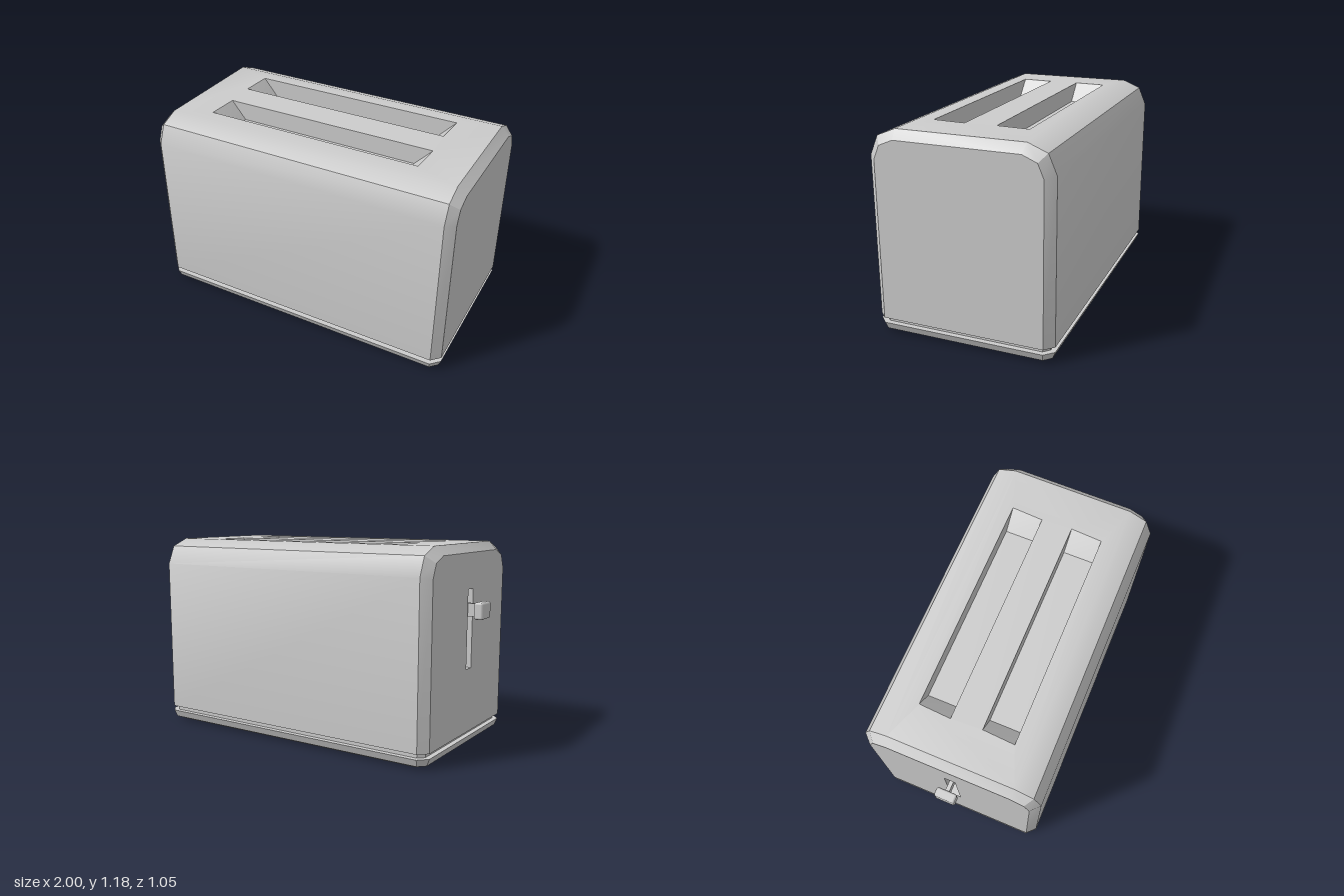
import * as THREE from 'three';
import { mergeGeometries, toCreasedNormals } from 'three/addons/utils/BufferGeometryUtils.js';
import { RoundedBoxGeometry } from 'three/addons/geometries/RoundedBoxGeometry.js';

const material = new THREE.MeshStandardMaterial({ color: 0xcccccc });

// Geometry from a list of flat convex polygons, each a list of [x, y, z] corners
function fromPolygons(polygons) {
  const pos = [];
  for (const p of polygons) {
    for (let i = 1; i < p.length - 1; i++) pos.push(...p[0], ...p[i], ...p[i + 1]);
  }
  const geo = new THREE.BufferGeometry();
  geo.setAttribute('position', new THREE.Float32BufferAttribute(pos, 3));
  return geo;
}

// Quads joining two loops, both counter-clockwise as seen from the first one
function band(a, b, skip = -1) {
  return a.map((p, i) => {
    const j = (i + 1) % a.length;
    return [p, b[i], b[j], a[j]];
  }).filter((_, i) => i !== skip);
}

// Flat panel facing local +z with sunken wells: { rim, floor, depth }
function panel(outline, wells = []) {
  const vec = (pts) => pts.map(([x, y]) => new THREE.Vector2(x, y));
  const shape = new THREE.Shape(vec(outline));
  const polygons = [];
  for (const { rim, floor, depth } of wells) {
    shape.holes.push(new THREE.Path(vec(rim)));
    const top = rim.map(([x, y]) => [x, y, 0]);
    const low = floor.map(([x, y]) => [x, y, -depth]);
    top.forEach((p, i) => {
      const j = (i + 1) % top.length;
      polygons.push([p, top[j], low[j], low[i]]);
    });
    polygons.push(low);
  }
  const flat = new THREE.ShapeGeometry(shape).toNonIndexed();
  flat.deleteAttribute('uv');
  flat.deleteAttribute('normal');
  return wells.length ? mergeGeometries([flat, fromPolygons(polygons)]) : flat;
}

function add(group, name, geometry, x = 0, y = 0, z = 0) {
  const mesh = new THREE.Mesh(geometry, material);
  mesh.name = name;
  mesh.position.set(x, y, z);
  group.add(mesh);
}

// Arch-shaped cross-section as [z, y], mirrored about z = 0
function section(half) {
  return [...half, ...half.map(([z, y]) => [-z, y]).reverse()];
}

function bodyGeometry() {
  const outer = section([[0.527, 0.093], [0.527, 1.03], [0.48, 1.14], [0.37, 1.185]]);
  const inner = section([[0.477, 0.093], [0.477, 1.02], [0.443, 1.1], [0.36, 1.135]]);
  const at = (loop, x) => loop.map(([z, y]) => [x, y, z]);
  const rings = [at(inner, -0.9), at(outer, -0.85), at(outer, 0.95), at(inner, 1)];
  const sides = fromPolygons([
    ...band(rings[0], rings[1]),
    ...band(rings[1], rings[2], 3), // the top strip is replaced by the slotted panel
    ...band(rings[2], rings[3]),
  ]);

  // Top panel with two bread slots that have sloping ends
  const slots = [0.19, -0.185].map((c) => ({
    rim: [[-0.63, c - 0.095], [0.695, c - 0.095], [0.705, c + 0.095], [-0.62, c + 0.095]],
    floor: [[-0.53, c - 0.095], [0.6, c - 0.095], [0.6, c + 0.095], [-0.53, c + 0.095]],
    depth: 0.11,
  }));
  const top = panel([[-0.85, -0.37], [0.95, -0.37], [0.95, 0.37], [-0.85, 0.37]], slots);
  top.rotateX(-Math.PI / 2).translate(0, 1.185, 0);

  // End panels; the one at -x has the lever track
  const track = [[-0.033, 0.47], [0.033, 0.47], [0.033, 0.93], [-0.033, 0.93]];
  const leverEnd = panel(inner, [{ rim: track, floor: track, depth: 0.06 }]);
  leverEnd.rotateY(-Math.PI / 2).translate(-0.9, 0, 0);
  const plainEnd = panel(inner).rotateY(Math.PI / 2).translate(1, 0, 0);

  return toCreasedNormals(mergeGeometries([sides, top, leverEnd, plainEnd]), 0.5);
}

// Stack of corner-cut rectangles, each [y, inset, corner cut]
function stackGeometry(levels) {
  const rings = levels.map(([y, inset, c]) => {
    const w = 0.95 - inset, d = 0.527 - inset;
    return [
      [w, -d + c], [w, d - c], [w - c, d], [-w + c, d],
      [-w, d - c], [-w, -d + c], [-w + c, -d], [w - c, -d],
    ].map(([x, z]) => [x + 0.05, y, z]);
  });
  const polygons = [rings[0], [...rings[rings.length - 1]].reverse()];
  for (let i = 0; i < rings.length - 1; i++) polygons.push(...band(rings[i], rings[i + 1]));
  return toCreasedNormals(fromPolygons(polygons), 0.4);
}

export function createModel() {
  const model = new THREE.Group();
  model.name = 'toaster';

  add(model, 'body', bodyGeometry());
  add(model, 'neck', stackGeometry([[0.06, 0.031, 0.034], [0.095, 0.031, 0.034]]));
  add(model, 'base', stackGeometry([[0, 0.06, 0.03], [0.02, 0.018, 0.04], [0.063, 0, 0.052]]));

  // Lever on the -x end
  const lever = new THREE.Group();
  lever.name = 'lever';
  add(lever, 'leverStem', new THREE.BoxGeometry(0.12, 0.075, 0.024), -0.9, 0.812, 0);
  add(lever, 'leverKnob', new RoundedBoxGeometry(0.054, 0.096, 0.124, 1, 0.012), -0.973, 0.813, 0);
  model.add(lever);

  return model;
}
